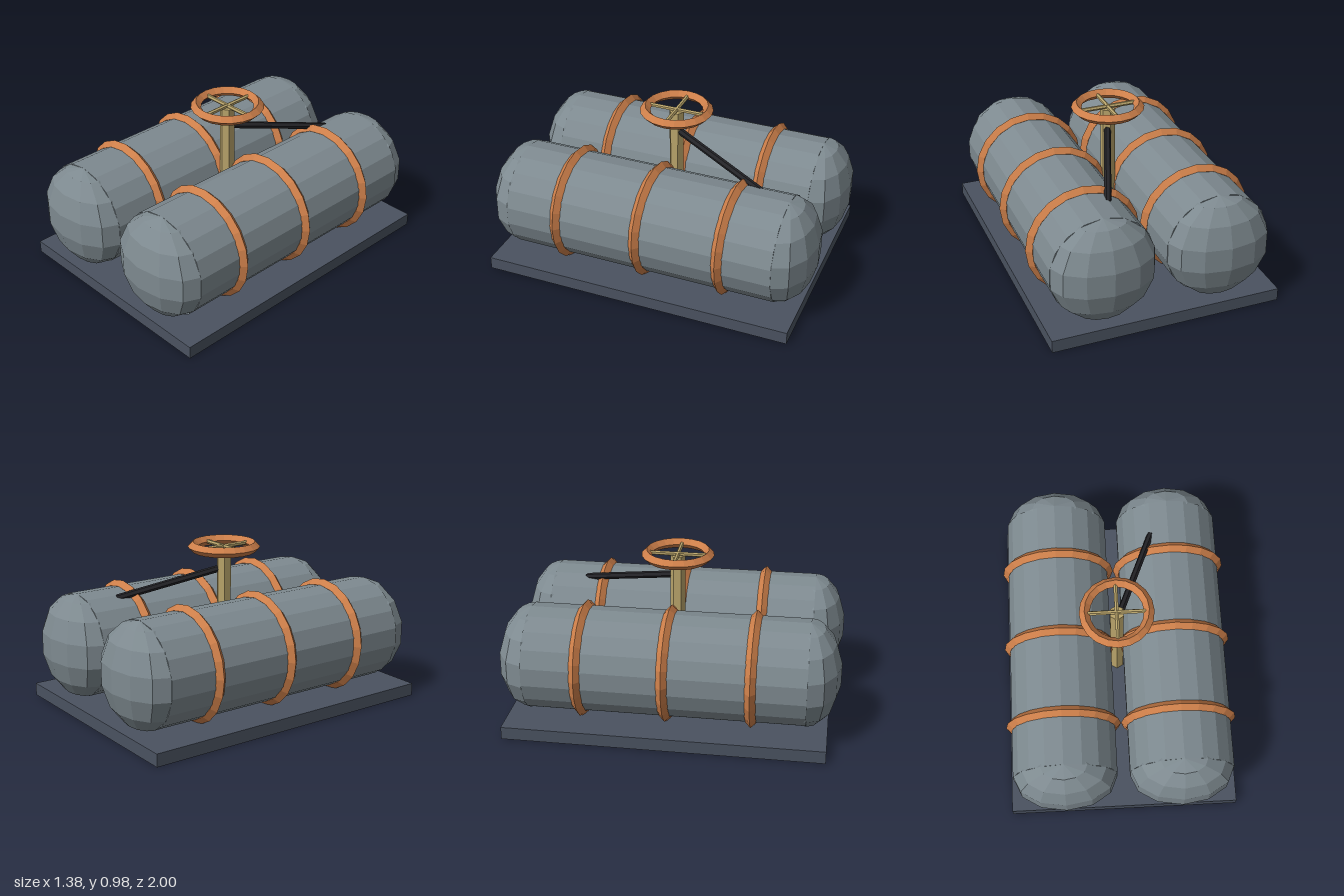
import * as THREE from 'three';

const material = (name, color) => {
  const m = new THREE.MeshStandardMaterial({ color, flatShading: true });
  m.name = name;
  return m;
};

export function createModel() {
  const steel = material('tank grey', 0x7e8a90);
  const copper = material('copper orange', 0xcd7f4a);
  const slate = material('slate base', 0x4a5260);
  const brass = material('brass', 0xbaa56b);
  const black = material('black', 0x232327);

  const model = new THREE.Group();
  model.name = 'twinTankUnit';
  const add = (name, geometry, mat, x, y, z, parent = model) => {
    const mesh = new THREE.Mesh(geometry, mat);
    mesh.name = name;
    mesh.position.set(x, y, z);
    parent.add(mesh);
    return mesh;
  };

  // Base plate
  add('basePlate', new THREE.BoxGeometry(1.38, 0.076, 1.88), slate, 0, 0.038, 0);

  // Two tanks with squashed end caps and three bands each
  const radius = 0.3125;
  const bodyGeo = new THREE.CylinderGeometry(radius, radius, 1.63, 18).rotateX(Math.PI / 2);
  const capGeo = new THREE.SphereGeometry(radius, 12, 7).scale(1, 1, 0.61);
  const bandGeo = new THREE.TorusGeometry(0.313, 0.032, 4, 20);
  for (const side of [1, -1]) {
    const tank = new THREE.Group();
    tank.name = side > 0 ? 'leftTank' : 'rightTank';
    tank.position.set(side * 0.345, 0.392, 0);
    model.add(tank);
    add('tankBody', bodyGeo, steel, 0, 0, 0, tank);
    for (const z of [0.815, -0.815]) add('endCap', capGeo, steel, 0, 0, z, tank);
    for (const z of [0.5, 0, -0.5]) add('band', bandGeo, copper, 0, 0, z, tank);
  }

  // Valve post, handwheel rim and crossed spokes
  add('valvePost', new THREE.CylinderGeometry(0.045, 0.045, 0.86, 6), brass, 0, 0.506, 0);
  const rimGeo = new THREE.TorusGeometry(0.186, 0.031, 4, 20).rotateX(Math.PI / 2);
  add('handwheelRim', rimGeo, copper, 0, 0.945, 0);
  const spokeGeo = new THREE.CylinderGeometry(0.013, 0.013, 0.35, 6);
  add('spoke', spokeGeo, brass, 0, 0.945, 0).rotation.x = Math.PI / 2;
  add('spoke', spokeGeo, brass, 0, 0.945, 0).rotation.z = Math.PI / 2;

  // Slanted pipe from the post down to the left tank
  const start = new THREE.Vector3(0.01, 0.812, -0.02);
  const end = new THREE.Vector3(0.238, 0.668, -0.61);
  const mid = start.clone().lerp(end, 0.5);
  const pipe = add('feedPipe', new THREE.CylinderGeometry(0.021, 0.021, start.distanceTo(end), 6),
    black, mid.x, mid.y, mid.z);
  pipe.quaternion.setFromUnitVectors(new THREE.Vector3(0, 1, 0), end.sub(start).normalize());

  return model;
}
